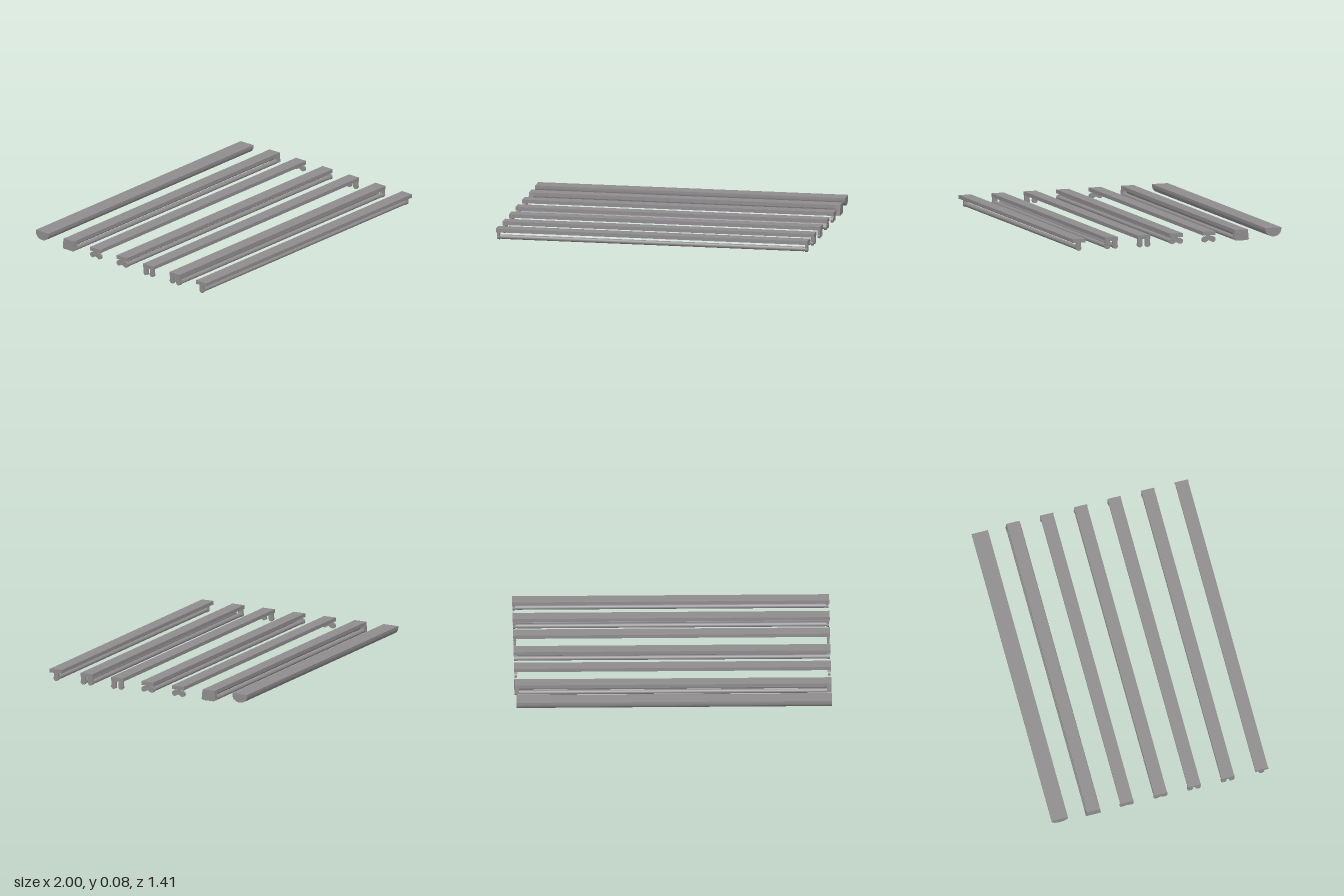
import * as THREE from 'three';

const grey = new THREE.MeshStandardMaterial({ color: 0x8f8c8e });
grey.name = 'fixture grey';

const TOP = 0.077, BASE = 0.054, HALF = 1.0;

function add(parent, name, geometry) {
  const mesh = new THREE.Mesh(geometry, grey);
  mesh.name = name;
  parent.add(mesh);
  return mesh;
}

// Section drawn in (z, y), extruded along x from x0 to x1
function alongX(points, x0, x1) {
  const shape = new THREE.Shape(points.map(([z, y]) => new THREE.Vector2(z, y)));
  const g = new THREE.ExtrudeGeometry(shape, { depth: x1 - x0, bevelEnabled: false });
  return g.rotateY(-Math.PI / 2).translate(x1, 0, 0);
}

// Cylinder lying along x
function rod(r, length, x, y, z) {
  return new THREE.CylinderGeometry(r, r, length, 20).rotateZ(Math.PI / 2).translate(x, y, z);
}

function box(l, h, d, x, y, z) {
  return new THREE.BoxGeometry(l, h, d).translate(x, y, z);
}

// Flat housing with slightly larger end caps
function housing(group, width = 0.083) {
  add(group, 'housing', box(1.98, TOP - BASE, width, 0, (TOP + BASE) / 2, 0));
  for (const s of [-1, 1])
    add(group, 'endCap', box(0.01, TOP - BASE + 0.001, width + 0.003, s * 0.995, (TOP + BASE) / 2, 0));
}

// Fluorescent lamp with narrower metal caps
function lamp(group, y, z) {
  add(group, 'lampTube', rod(0.0145, 1.94, 0, y, z));
  for (const s of [-1, 1]) add(group, 'lampCap', rod(0.013, 0.02, s * 0.975, y, z));
}

// Round lamp socket with a pin on its inner and outer face
function socket(group, s, y, z) {
  add(group, 'socket', rod(0.0175, 0.016, s * 0.988, y, z));
  add(group, 'socketPin', rod(0.004, 0.022, s * 0.988, y + 0.016, z));
}

// Straight holders hanging under the housing
function batten(group, offsets, lit) {
  housing(group);
  for (const z of offsets) {
    for (const s of [-1, 1]) {
      add(group, 'holderStem', box(0.016, 0.038, 0.031, s * 0.988, 0.037, z));
      socket(group, s, 0.0185, z);
    }
    if (lit) lamp(group, 0.0185, z);
  }
}

// Splayed holders, one arm to each side
function splayed(group, lit) {
  housing(group);
  const arms = [[-0.012, 0.056], [-0.012, 0.048], [-0.031, 0.043], [-0.036, 0.011],
    [-0.02, 0.011], [0, 0.022], [0.02, 0.011], [0.036, 0.011], [0.031, 0.043],
    [0.012, 0.048], [0.012, 0.056]].reverse();
  for (const s of [-1, 1]) {
    add(group, 'splayedHolder', alongX(arms, s * 0.988 - 0.008, s * 0.988 + 0.008));
    for (const z of [-0.028, 0.028]) socket(group, s, 0.0265, z);
  }
  if (lit) for (const z of [-0.028, 0.028]) lamp(group, 0.0265, z);
}

// Housing with tapered end blocks and lamps along the lower sides
function sideLit(group) {
  housing(group, 0.083);
  const end = [[-0.043, TOP], [-0.049, 0.016], [-0.038, 0.009], [0.038, 0.009], [0.049, 0.016], [0.043, TOP]];
  for (const s of [-1, 1])
    add(group, 'endBlock', alongX(end, s * 0.985 - 0.015, s * 0.985 + 0.015));
  const spine = [[-0.022, BASE], [-0.012, 0.03], [0.012, 0.03], [0.022, BASE]];
  add(group, 'spine', alongX(spine, -0.97, 0.97));
  for (const z of [-0.034, 0.034]) lamp(group, 0.024, z);
}

// Closed trough with a rounded diffuser
function diffuser(group) {
  const pts = [[0.053, TOP], [-0.053, TOP], [-0.053, 0.064]];
  for (let i = 1; i < 16; i++) {
    const a = Math.PI * (1 + i / 16);
    pts.push([0.053 * Math.cos(a), 0.064 + 0.043 * Math.sin(a)]);
  }
  pts.push([0.053, 0.064]);
  add(group, 'diffuserTrough', alongX(pts, -HALF, 0.99));
}

export function createModel() {
  const model = new THREE.Group();
  model.name = 'lightFixtures';
  const fixtures = [
    ['singleBatten', 0.663, g => batten(g, [0], true)],
    ['twinBatten', 0.443, g => batten(g, [-0.026, 0.026], true)],
    ['emptyTwinBatten', 0.224, g => batten(g, [-0.026, 0.026], false)],
    ['splayedBatten', 0.005, g => splayed(g, true)],
    ['emptySplayedBatten', -0.215, g => splayed(g, false)],
    ['sideLitFixture', -0.434, g => sideLit(g)],
    ['diffuserFixture', -0.653, g => diffuser(g)],
  ];
  for (const [name, z, build] of fixtures) {
    const g = new THREE.Group();
    g.name = name;
    build(g);
    g.position.z = z;
    model.add(g);
  }
  return model;
}
